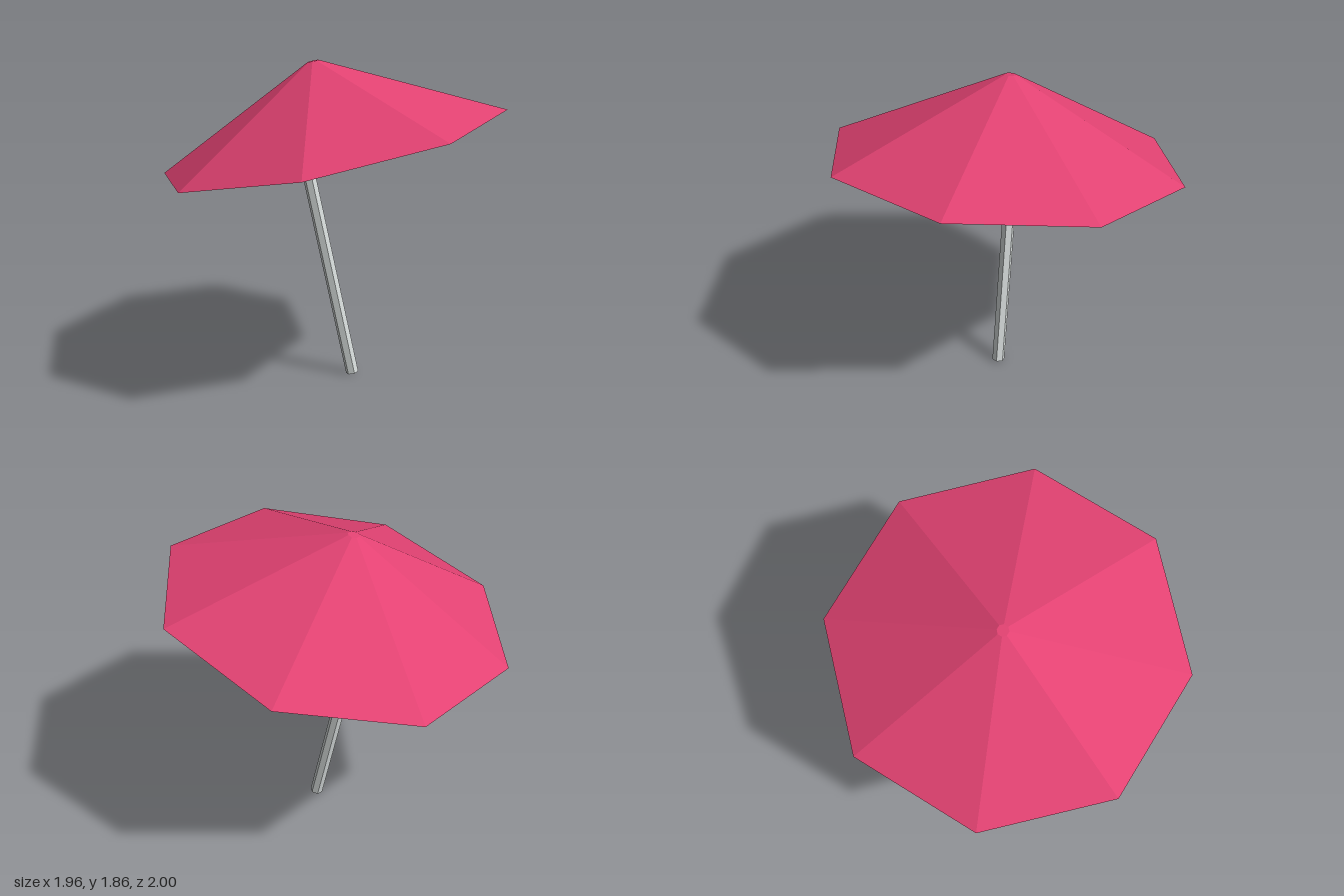
import * as THREE from 'three';

const TILT = THREE.MathUtils.degToRad(12);

export function createModel() {
  const fabric = new THREE.MeshStandardMaterial({ color: 0xe24272, flatShading: true, side: THREE.DoubleSide });
  fabric.name = 'pink fabric';
  const metal = new THREE.MeshStandardMaterial({ color: 0xd6dbda, flatShading: true });
  metal.name = 'light grey metal';

  const parasol = new THREE.Group();
  parasol.name = 'parasol';

  // Every part leans by the same angle; its base centre sits at (x, y)
  const addPart = (name, geometry, material, x, y) => {
    const mesh = new THREE.Mesh(geometry, material);
    mesh.name = name;
    mesh.position.set(x, y, 0);
    mesh.rotation.z = TILT;
    parasol.add(mesh);
  };

  // Open eight-sided canopy with a small flat crown
  const height = 0.466, crownRadius = 0.032;
  const canopy = new THREE.CylinderGeometry(crownRadius, 1, height, 8, 1, true);
  canopy.translate(0, height / 2, 0);
  addPart('canopy', canopy, fabric, 0, 1.4);

  const crown = new THREE.CircleGeometry(crownRadius, 8);
  crown.rotateX(-Math.PI / 2).translate(0, height, 0);
  addPart('crown', crown, fabric, 0, 1.4);

  // Six-sided pole, set off-centre under the canopy
  const length = 1.65, radius = 0.0375;
  const pole = new THREE.CylinderGeometry(radius, radius, length, 6, 1, false, Math.PI / 2);
  pole.translate(0, length / 2, 0);
  addPart('pole', pole, metal, 0.13, radius * Math.sin(TILT));

  return parasol;
}
